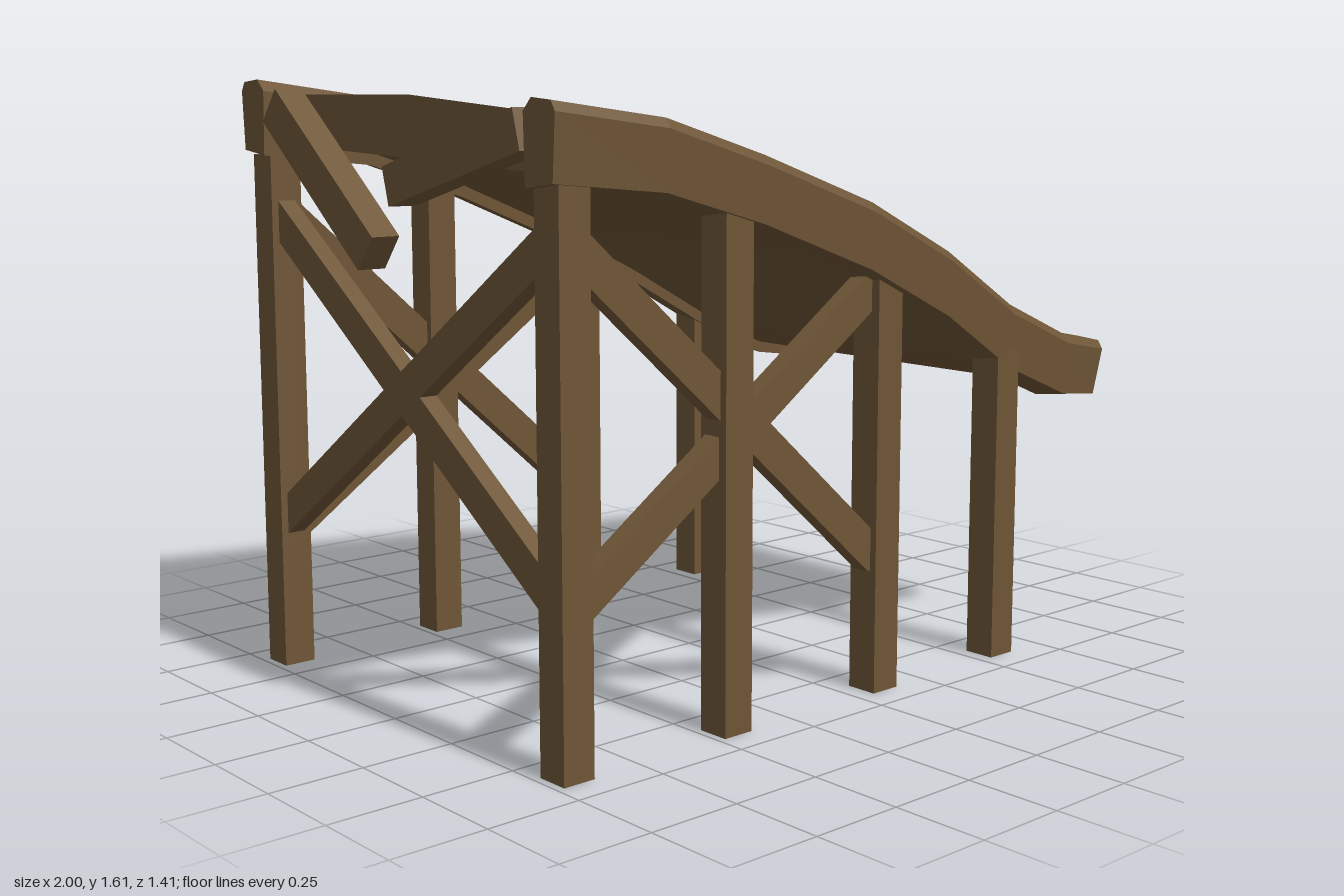
import * as THREE from 'three';

const wood = new THREE.MeshStandardMaterial({ color: 0x6e5536, flatShading: true, side: THREE.DoubleSide });
wood.name = 'brown wood';

// Stations along the ramp: x, rail top, rail bottom, outer z of the rails, extra height at the back
const stations = [
  [-1.0, 1.56, 1.365, 0.687, 0.048],
  [-0.67, 1.52, 1.335, 0.687, 0.045],
  [-0.36, 1.43, 1.25, 0.69, 0.03],
  [0.0, 1.305, 1.12, 0.707, 0.018],
  [0.3, 1.165, 0.98, 0.705, 0.012],
  [0.6, 1.0, 0.81, 0.675, 0.01],
  [0.83, 0.9, 0.715, 0.688, 0.008],
  [1.0, 0.868, 0.7, 0.683, 0.002],
];

// Skin a list of rings running along +x, closed at both ends
function loft(rings) {
  const n = rings[0].length, pos = rings.flat(2), index = [];
  for (let r = 0; r < rings.length - 1; r++) {
    for (let i = 0; i < n; i++) {
      const a = r * n + i, b = r * n + (i + 1) % n;
      index.push(a, b, b + n, a, b + n, a + n);
    }
  }
  const last = (rings.length - 1) * n;
  for (let i = 1; i < n - 1; i++) {
    index.push(0, i + 1, i, last, last + i, last + i + 1);
  }
  const g = new THREE.BufferGeometry();
  g.setAttribute('position', new THREE.Float32BufferAttribute(pos, 3));
  g.setIndex(index);
  const flat = g.toNonIndexed();
  flat.computeVertexNormals();
  return flat;
}

// Values interpolated between stations
function sample(x, column) {
  for (let i = 0; i < stations.length - 1; i++) {
    const a = stations[i], b = stations[i + 1];
    if (x <= b[0]) return THREE.MathUtils.lerp(a[column], b[column], (x - a[0]) / (b[0] - a[0]));
  }
  return stations[stations.length - 1][column];
}

// Chamfered rail; side is +1 for the front edge and -1 for the back edge
function railGeometry(side) {
  const rings = stations.map(([x, top, bottom, outer, lift]) => {
    const up = side < 0 ? lift : 0;
    const foot = x === 1 ? 0.975 : x;
    const ring = [
      [foot, bottom - 0.005, outer - 0.11],
      [x, top - 0.03, outer - 0.115],
      [x, top, outer - 0.085],
      [x, top - 0.006, outer - 0.015],
      [x, top - 0.03, outer],
      [foot, bottom + 0.008, outer - 0.01],
    ].map(([px, py, pz]) => [px, py + up, pz * side]);
    return side > 0 ? ring : ring.reverse();
  });
  return loft(rings);
}

// Curved deck fitted between the rails, with a slight cross slope; its underside follows the rails
function deckGeometry() {
  const xs = [-0.915, ...stations.slice(1).map((s) => s[0])];
  return loft(xs.map((x) => {
    const t = (x + 1) / 2;
    const front = sample(x, 1) - THREE.MathUtils.lerp(0.028, 0.062, t ** 4);
    const lift = sample(x, 4);
    const mid = THREE.MathUtils.lerp(front + lift, front - 0.012, t);
    const under = sample(x, 2) + 0.03;
    const edge = sample(x, 3) - 0.112;
    const end = x === 1 ? 0.985 : x;
    return [
      [x, front + lift, -edge], [x, mid, 0], [x, front, edge],
      [end, under, edge], [end, under + lift / 2, 0], [end, under + lift, -edge],
    ];
  }));
}

export function createModel() {
  const model = new THREE.Group();
  model.name = 'woodenRamp';

  const add = (name, geometry) => {
    const mesh = new THREE.Mesh(geometry, wood);
    mesh.name = name;
    model.add(mesh);
    return mesh;
  };

  // Straight timber between two points given along a horizontal run (u) and height (y)
  const timber = (name, acrossZ, offset, [u0, y0], [u1, y1], height, thickness) => {
    const g = new THREE.BoxGeometry(Math.hypot(u1 - u0, y1 - y0), height, thickness);
    g.rotateZ(Math.atan2(y1 - y0, u1 - u0));
    g.translate((u0 + u1) / 2, (y0 + y1) / 2, 0);
    if (acrossZ) g.rotateY(-Math.PI / 2);
    g.translate(acrossZ ? offset : 0, 0, acrossZ ? 0 : offset);
    add(name, g);
  };

  add('deck', deckGeometry());

  for (const side of [1, -1]) {
    const label = side > 0 ? 'front' : 'back';
    add(label + 'Rail', railGeometry(side));

    // Hollow square posts, open at the ends, reaching up into the rail
    [-0.935, -0.435, 0.1, 0.585].forEach((x, i) => {
      const h = sample(x, 2) + 0.05;
      const post = new THREE.CylinderGeometry(0.063, 0.063, h, 4, 1, true).rotateY(Math.PI / 4);
      add(`${label}Post${i + 1}`, post).position.set(x, h / 2, 0.626 * side);
    });

    // Crossed braces along the side
    const shift = side > 0 ? -0.006 : 0.008;
    timber(label + 'FallingBrace', false, 0.626 * side, [-0.92, 1.24 + shift], [0.08, 0.362], 0.092, 0.05);
    timber(label + 'RisingBrace', false, 0.62 * side, [-0.92, 0.39], [0.08, 1.085], 0.088, 0.05);

    // Crossed braces at the tall end
    timber(label + 'EndBrace', true, -0.935, [0.61 * side, 0.41], [-0.61 * side, 1.25], 0.092, 0.05);
  }

  // Short struts under the upper end of the deck
  timber('backEndStrut', true, -0.96, [-0.545, 1.54], [-0.09, 1.175], 0.11, 0.08);
  timber('frontEndStrut', true, -0.96, [0.545, 1.49], [0.01, 1.345], 0.1, 0.08);

  return model;
}
